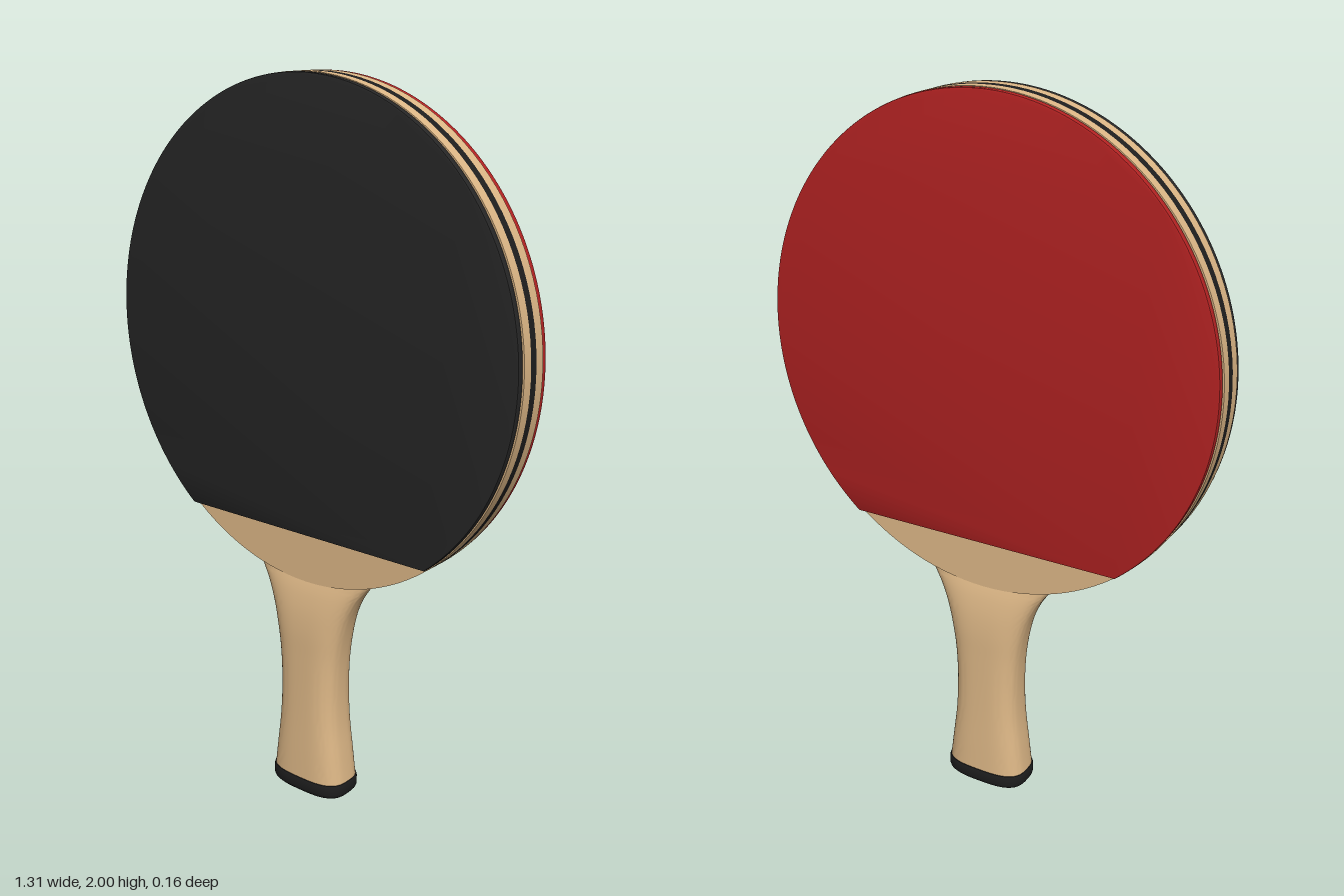
import * as THREE from 'three';
import { toCreasedNormals } from 'three/addons/utils/BufferGeometryUtils.js';

const mat = (name, color) => {
  const m = new THREE.MeshStandardMaterial({ color });
  m.name = name;
  return m;
};

// Loft of superellipse sections [y, halfWidth, halfDepth], capped at both ends
function loft(sections, power, sides = 64) {
  const pos = [], index = [];
  for (const [y, w, d] of sections) {
    for (let i = 0; i < sides; i++) {
      const a = (i / sides) * Math.PI * 2, c = Math.cos(a), s = Math.sin(a);
      const curve = (v) => Math.sign(v) * Math.pow(Math.abs(v), 2 / power);
      pos.push(w * curve(c), y, d * curve(s));
    }
  }
  const last = sections.length - 1;
  for (let r = 0; r < last; r++) {
    for (let i = 0; i < sides; i++) {
      const j = (i + 1) % sides, a = r * sides + i, b = r * sides + j;
      index.push(a, a + sides, b, b, a + sides, b + sides);
    }
  }
  const bottom = pos.length / 3, top = bottom + 1;
  pos.push(0, sections[0][0], 0, 0, sections[last][0], 0);
  for (let i = 0; i < sides; i++) {
    const j = (i + 1) % sides;
    index.push(bottom, i, j, top, last * sides + j, last * sides + i);
  }
  const g = new THREE.BufferGeometry();
  g.setAttribute('position', new THREE.Float32BufferAttribute(pos, 3));
  g.setIndex(index);
  return toCreasedNormals(g, 0.7);
}

export function createModel() {
  const group = new THREE.Group();
  const wood = mat('wood', 0xdeb887);
  const black = mat('blackRubber', 0x262626);
  const red = mat('redRubber', 0xb22222);
  const dark = mat('darkTrim', 0x1e1e1e);
  const add = (name, geometry, material) => {
    const m = new THREE.Mesh(geometry, material);
    m.name = name;
    group.add(m);
    return m;
  };

  const RX = 0.655, RY = 0.6775, CY = 1.3225;

  // Blade: two wooden plies around a dark core
  const ply = (name, z, thickness, material) => {
    const g = new THREE.CylinderGeometry(1, 1, thickness, 128);
    g.rotateX(Math.PI / 2).scale(RX, RY, 1).translate(0, CY, z);
    add(name, g, material);
  };
  ply('frontPly', 0.027, 0.03, wood);
  ply('corePly', 0, 0.024, dark);
  ply('backPly', -0.027, 0.03, wood);

  // Rubber sheets: ellipse cut straight above the handle, with a fine bevel
  const bevel = 0.004, rx = RX - 0.003 - bevel, ry = RY - 0.001 - bevel;
  const cut = Math.asin((0.79 + bevel - CY) / ry);
  const outline = new THREE.Shape();
  outline.absellipse(0, CY, rx, ry, cut, Math.PI - cut, false, 0);
  outline.closePath();
  const sheet = toCreasedNormals(new THREE.ExtrudeGeometry(outline, {
    depth: 0.012, curveSegments: 96, bevelSize: bevel, bevelThickness: bevel, bevelSegments: 2,
  }), 0.5).translate(0, 0, 0.046);
  add('frontRubber', sheet, black);
  add('backRubber', sheet, red).rotation.y = Math.PI;

  // Handle: flared at both ends, thinning into the blade
  const path = new THREE.CatmullRomCurve3([
    [0.04, 0.122, 0.075], [0.12, 0.112, 0.073], [0.22, 0.1, 0.07], [0.32, 0.096, 0.068],
    [0.42, 0.101, 0.067], [0.5, 0.114, 0.066], [0.56, 0.131, 0.061], [0.61, 0.154, 0.052],
    [0.645, 0.177, 0.042], [0.675, 0.2, 0.031],
  ].map(([y, w, d]) => new THREE.Vector3(w, y, d)));
  add('handle', loft(path.getPoints(40).map((p) => [p.y, p.x, p.z]), 3), wood);

  // End cap with a rounded lower edge
  add('endCap', loft([
    [0, 0.112, 0.066], [0.003, 0.119, 0.073], [0.008, 0.123, 0.077], [0.015, 0.125, 0.079],
    [0.038, 0.125, 0.079], [0.045, 0.123, 0.077],
  ], 3), dark);

  return group;
}
